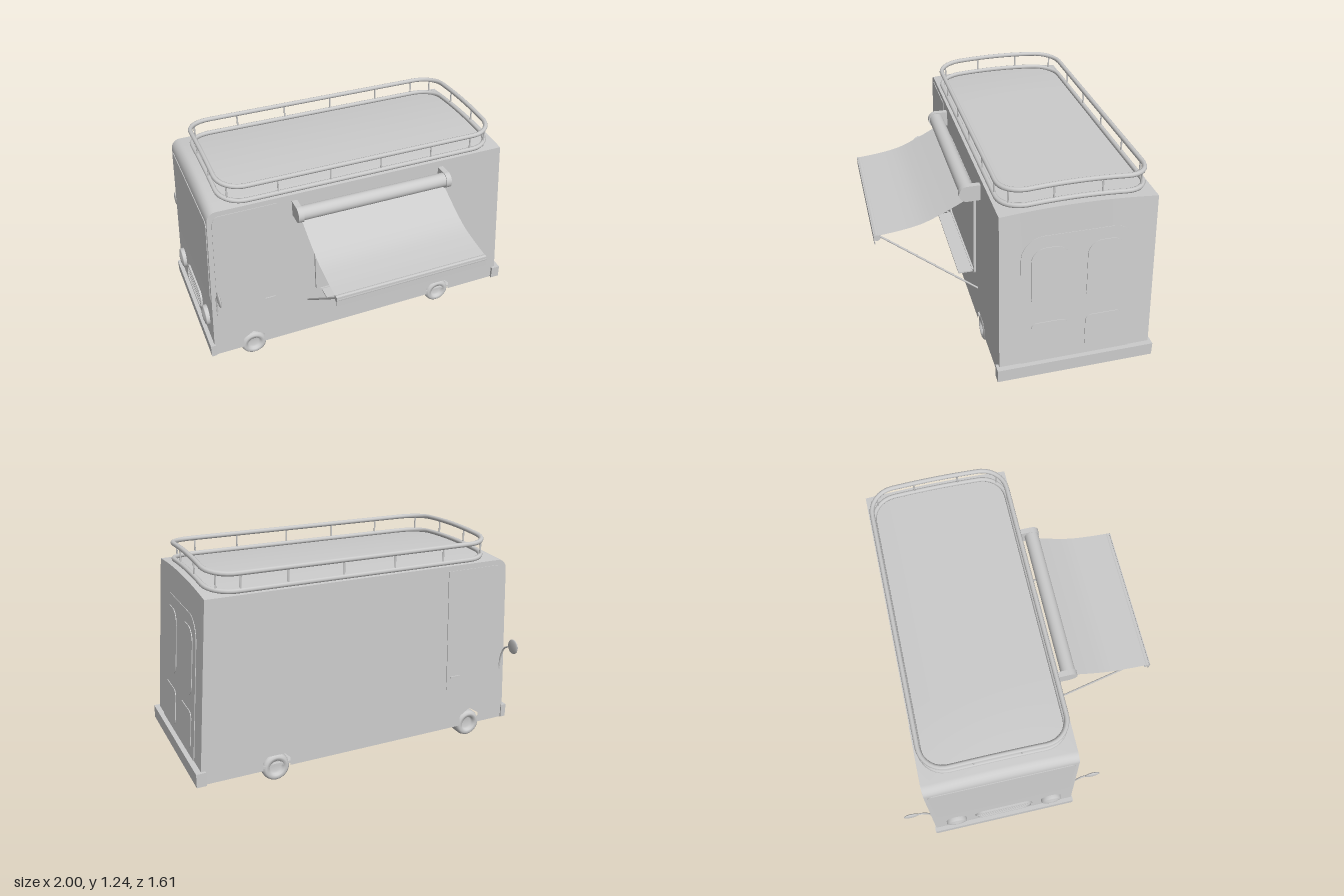
import * as THREE from 'three';
import { toCreasedNormals } from 'three/addons/utils/BufferGeometryUtils.js';

const V = (x, y, z) => new THREE.Vector3(x, y, z);
const mat = new THREE.MeshStandardMaterial({ color: 0xcccccc, side: THREE.DoubleSide });
const CZ = -0.215; // middle of the body in z
const halfWidth = y => 0.44 - 0.013 * (y - 0.08);
const frontX = y => -0.975 + 0.0573 * (y - 0.08);
const rearX = y => 0.975 - 0.0735 * (y - 0.08);

function add(parent, name, geo, x = 0, y = 0, z = 0) {
  const m = new THREE.Mesh(geo, mat);
  m.name = name;
  m.position.set(x, y, z);
  parent.add(m);
  return m;
}
const box = (p, n, x0, x1, y0, y1, z0, z1) =>
  add(p, n, new THREE.BoxGeometry(x1 - x0, y1 - y0, z1 - z0), (x0 + x1) / 2, (y0 + y1) / 2, (z0 + z1) / 2);
const tube = (p, n, pts, r, closed = false, seg = 24) =>
  add(p, n, new THREE.TubeGeometry(new THREE.CatmullRomCurve3(pts, closed), seg, r, 8, closed));

// Moves every vertex by a rule
function warp(geo, rule) {
  const p = geo.attributes.position;
  for (let i = 0; i < p.count; i++) p.setXYZ(i, ...rule(p.getX(i), p.getY(i), p.getZ(i)));
  geo.computeVertexNormals();
  return geo;
}
// Rounded rectangle with top and bottom corner radii
function roundRect(x0, x1, y0, y1, r, rb = r, Type = THREE.Shape) {
  const s = new Type();
  s.moveTo(x0 + rb, y0).lineTo(x1 - rb, y0);
  if (rb) s.absarc(x1 - rb, y0 + rb, rb, -Math.PI / 2, 0);
  s.lineTo(x1, y1 - r).absarc(x1 - r, y1 - r, r, 0, Math.PI / 2);
  s.lineTo(x0 + r, y1).absarc(x0 + r, y1 - r, r, Math.PI / 2, Math.PI);
  s.lineTo(x0, y0 + rb);
  if (rb) s.absarc(x0 + rb, y0 + rb, rb, Math.PI, Math.PI * 1.5);
  return s;
}
const extrude = (shape, depth) => new THREE.ExtrudeGeometry(shape, { depth, bevelEnabled: false, curveSegments: 8 });
// Panels lying on the sloped side and end walls
const onSide = (p, n, shape, depth) =>
  add(p, n, warp(extrude(shape, depth), (x, y, z) => [x, y, halfWidth(y) + z]));
const onEnd = (p, n, shape, depth, s) =>
  add(p, n, warp(extrude(shape, depth), (u, y, d) => [(s < 0 ? frontX(y) : rearX(y)) + s * d, y, CZ - s * u]));

export function createModel() {
  const van = new THREE.Group();
  van.name = 'foodTruck';

  // Ends and crowned roof: one strip following the side profile
  const profile = [[frontX(0.08), 0.08]];
  for (let i = 0; i <= 6; i++) {
    const a = (i / 6) * Math.PI / 2;
    profile.push([-0.865 - 0.055 * Math.cos(a), 1.04 + 0.06 * Math.sin(a)]);
  }
  for (let i = 1; i <= 4; i++) profile.push([-0.865 + 1.765 * i / 4, 1.1]);
  profile.push([rearX(0.08), 0.08]);
  const strip = warp(new THREE.PlaneGeometry(1, 1, 16, profile.length - 1), (u, v) => {
    const [x, y] = profile[Math.round((0.5 - v) * (profile.length - 1))], t = u * 2;
    const crown = 0.022 * (1 - t * t) * Math.max(0, Math.min(1, (y - 1.04) / 0.06));
    return [x, y + crown, CZ + t * halfWidth(y)];
  });
  add(van, 'roofAndEnds', toCreasedNormals(strip, 0.6));

  // Both sides, with wheel notches and a cab door
  for (const s of [1, -1]) {
    const side = new THREE.Group();
    side.name = s > 0 ? 'servingSide' : 'plainSide';
    side.position.z = CZ;
    side.scale.z = s;
    van.add(side);
    const outline = [...profile, [0.62, 0.08], [0.62, 0.13], [0.59, 0.16], [0.49, 0.16], [0.46, 0.13], [0.46, 0.08],
      [-0.66, 0.08], [-0.66, 0.145], [-0.725, 0.185], [-0.79, 0.145], [-0.79, 0.08]];
    const wall = new THREE.ShapeGeometry(new THREE.Shape(outline.map(p => new THREE.Vector2(...p))));
    add(side, 'sideWall', warp(wall, (x, y) => [x, y, halfWidth(y)]));

    const door = new THREE.Shape();
    door.moveTo(-0.93, 0.34).lineTo(-0.55, 0.34).lineTo(-0.525, 1.07).lineTo(-0.85, 1.07);
    door.quadraticCurveTo(-0.89, 1.07, -0.895, 1.01);
    onSide(side, 'cabDoor', door, 0.004);
    box(side, 'doorHandle', -0.635, -0.57, 0.412, 0.422, 0.435, 0.446);

    // Mirror on a curved arm
    tube(side, 'mirrorArm', [V(-0.925, 0.41, 0.435), V(-0.925, 0.5, 0.447), V(-0.925, 0.56, 0.475),
      V(-0.925, 0.58, 0.51)], 0.005);
    const mirror = add(side, 'mirror', new THREE.SphereGeometry(0.044, 20, 12), -0.928, 0.592, 0.545);
    mirror.scale.x = 0.2;

    // Wheels with rounded tyres and dished hubs
    const tyre = [[0, -0.05], [0.06, -0.05], [0.074, -0.043], [0.08, -0.025], [0.08, 0.02], [0.075, 0.037],
      [0.064, 0.045], [0.046, 0.045], [0.042, 0.028], [0.032, 0.02], [0, 0.02]];
    for (const x of [-0.725, 0.54]) {
      const geo = new THREE.LatheGeometry(tyre.map(p => new THREE.Vector2(...p)), 28);
      add(side, 'wheel', geo.rotateX(Math.PI / 2), x, 0.08, 0.395);
    }
  }

  // Serving window with frame and counter
  const serving = new THREE.Group();
  serving.name = 'servingWindow';
  serving.position.z = CZ;
  van.add(serving);
  const frame = roundRect(-0.315, 0.405, 0.375, 0.95, 0.03);
  frame.holes.push(roundRect(-0.302, 0.392, 0.388, 0.937, 0.025, 0.025, THREE.Path));
  onSide(serving, 'windowFrame', frame, 0.014);
  onSide(serving, 'windowPane', roundRect(-0.305, 0.395, 0.385, 0.94, 0.025), 0.004);
  box(serving, 'counter', -0.28, 0.37, 0.376, 0.384, 0.435, 0.535);

  // Awning: roller, sagging cloth, front bar, valance and struts
  const awning = new THREE.Group();
  awning.name = 'awning';
  van.add(awning);
  const roller = (n, r, x0, x1, y, z) =>
    add(awning, n, new THREE.CylinderGeometry(r, r, x1 - x0, 24).rotateZ(Math.PI / 2), (x0 + x1) / 2, y, z);
  roller('roller', 0.042, -0.41, 0.49, 1.015, 0.283);
  for (const x of [-0.435, 0.48]) {
    roller('rollerCap', 0.048, x, x + 0.032, 1.013, 0.283);
    box(awning, 'rollerBracket', x, x + 0.032, 0.966, 1.06, 0.21, 0.285);
  }
  const sag = new THREE.CatmullRomCurve3([V(0, 0.974, 0.27), V(0, 0.895, 0.427), V(0, 0.848, 0.543),
    V(0, 0.824, 0.672), V(0, 0.812, 0.785)]);
  add(awning, 'cloth', warp(new THREE.PlaneGeometry(1, 1, 1, 20), (u, v) => {
    const p = sag.getPoint(0.5 - v);
    return [0.0425 + u * 0.895, p.y, p.z];
  }));
  roller('frontBar', 0.018, -0.405, 0.49, 0.797, 0.785);
  box(awning, 'valance', -0.405, 0.49, 0.757, 0.815, 0.797, 0.802);
  for (const [x0, x1] of [[-0.36, -0.367], [0.44, 0.46]])
    tube(awning, 'strut', [V(x0, 0.79, 0.785), V(x1, 0.32, 0.225)], 0.006, false, 2);

  // Roof rack: two crowned loops joined by posts
  const rack = new THREE.Group();
  rack.name = 'roofRack';
  van.add(rack);
  const loop = roundRect(-0.82, 0.86, -0.4, 0.4, 0.14).getSpacedPoints(120).slice(0, -1);
  const crown = z => 0.024 * (1 - (z / 0.4) ** 2);
  const rail = y => loop.map(p => V(p.x, y + crown(p.y), CZ + p.y));
  tube(rack, 'lowerRail', rail(1.115), 0.014, true, 160);
  tube(rack, 'upperRail', rail(1.207), 0.014, true, 160);
  const posts = [[-0.82, 0.13], [-0.82, -0.13], [0.86, 0.13], [0.86, -0.13]];
  for (const z of [-0.4, 0.4]) {
    for (const x of [-0.5, -0.19, 0.12, 0.44, 0.7]) posts.push([x, z]);
    posts.push([-0.779, z * 0.8975], [0.819, z * 0.8975]);
  }
  for (const [x, z] of posts)
    add(rack, 'post', new THREE.CylinderGeometry(0.005, 0.005, 0.092, 8), x, 1.161 + crown(z), CZ + z);

  // Cab front: windscreen, grille, headlights
  onEnd(van, 'windscreen', roundRect(-0.41, 0.41, 0.47, 1.03, 0.03), 0.004, -1);
  const surround = roundRect(-0.18, 0.18, 0.215, 0.345, 0.055);
  surround.holes.push(roundRect(-0.167, 0.167, 0.228, 0.332, 0.042, 0.042, THREE.Path));
  onEnd(van, 'grilleSurround', surround, 0.012, -1);
  for (let i = 0; i < 5; i++) {
    const y = 0.242 + i * 0.019, w = i % 4 ? 0.168 : 0.15;
    onEnd(van, 'grilleSlat', roundRect(-w, w, y - 0.004, y + 0.004, 0.003), 0.008, -1);
  }
  const lamp = [[0.063, -0.01], [0.063, 0.018], [0.055, 0.024], [0.05, 0.02], [0.035, 0.029], [0, 0.034]];
  for (const z of [-0.3, 0.3])
    add(van, 'headlight', new THREE.LatheGeometry(lamp.map(p => new THREE.Vector2(...p)), 28).rotateZ(Math.PI / 2),
      frontX(0.29), 0.29, CZ + z);

  // Rear doors with four windows
  onEnd(van, 'rearDoors', roundRect(-0.315, 0.315, 0.16, 0.96, 0.13, 0), 0.004, 1);
  for (const s of [-1, 1]) {
    const a = s * 0.155;
    onEnd(van, 'rearWindow', roundRect(a - 0.105, a + 0.105, 0.5, 0.89, 0.08), 0.008, 1);
    onEnd(van, 'rearLowerPanel', roundRect(a - 0.105, a + 0.105, 0.2, 0.42, 0.035), 0.008, 1);
  }

  // Bumpers and underside
  box(van, 'frontBumper', -0.995, -0.962, 0.08, 0.16, CZ - 0.447, CZ + 0.447);
  box(van, 'rearBumper', 0.945, 1.0, 0.08, 0.16, CZ - 0.455, CZ + 0.455);
  box(van, 'rearFloor', -0.25, 0.95, 0.09, 0.105, CZ - 0.435, CZ + 0.435);
  box(van, 'cabBulkhead', -0.62, -0.42, 0.09, 0.45, CZ - 0.43, CZ + 0.43);
  return van;
}
